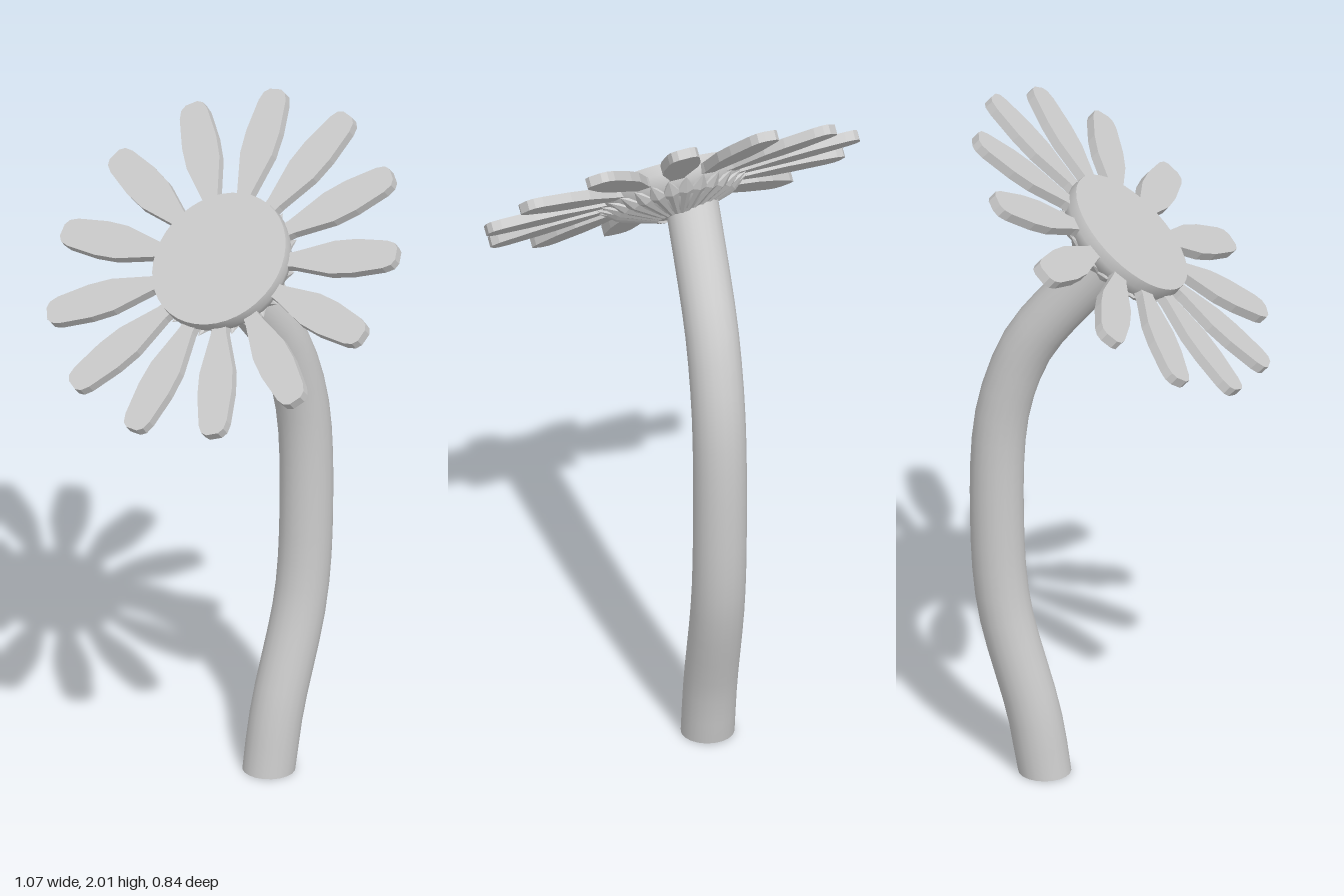
import * as THREE from 'three';
import { mergeVertices, toCreasedNormals } from 'three/addons/utils/BufferGeometryUtils.js';

const PETALS = 13;
const SEPALS = 26;

const grey = new THREE.MeshStandardMaterial({ color: 0xcccccc });
const flatGrey = new THREE.MeshStandardMaterial({ color: 0xcccccc, flatShading: true });
const innerGrey = new THREE.MeshStandardMaterial({ color: 0xcccccc, side: THREE.BackSide });

function part(name, geometry, material, parent) {
  const mesh = new THREE.Mesh(geometry, material);
  mesh.name = name;
  parent.add(mesh);
  return mesh;
}

// Tube along the stem curve, with its lowest ring pressed flat onto the ground
function stemTube(curve, radius) {
  const sides = 20;
  const geo = new THREE.TubeGeometry(curve, 22, radius, sides, false);
  for (let i = 0; i <= sides; i++) geo.attributes.position.setY(i, 0);
  return geo;
}

// Paddle-shaped petal lying along +x, from half-widths at each radius
function petalGeometry() {
  const profile = [[0.15, 0.018], [0.22, 0.023], [0.34, 0.051], [0.41, 0.053],
    [0.505, 0.043], [0.53, 0.034], [0.541, 0.018]];
  const outline = [
    ...profile.map(([r, w]) => new THREE.Vector2(r, -w)),
    ...profile.slice().reverse().map(([r, w]) => new THREE.Vector2(r, w)),
  ];
  const geo = new THREE.ExtrudeGeometry(new THREE.Shape(outline), { depth: 0.028, bevelEnabled: false });
  return geo.translate(0, 0, -0.014);
}

// Pointed sepal lying along +x, hugging the back of the flower head
function sepalGeometry() {
  const geo = new THREE.ConeGeometry(0.036, 0.17, 6, 2);
  geo.rotateZ(-Math.PI / 2);
  const p = geo.attributes.position;
  for (let i = 0; i < p.count; i++) {
    // Fuller towards the tip, narrower at the stem
    const t = (p.getX(i) + 0.085) / 0.17;
    const k = t < 0.1 ? 0.45 : t < 0.9 ? 1.6 : 1;
    p.setXYZ(i, p.getX(i) + (t > 0.1 && t < 0.9 ? 0.03 : 0), p.getY(i) * k, p.getZ(i) * k * 0.6);
  }
  geo.rotateY(-0.38);
  return geo.translate(0.137, 0, -0.048);
}

export function createModel() {
  const model = new THREE.Group();
  model.name = 'flower';

  // Stem: hollow, bent backwards and then forwards to the head
  const stem = new THREE.Group();
  stem.name = 'stem';
  model.add(stem);
  const curve = new THREE.CatmullRomCurve3([
    [0, -0.205], [0.17, -0.235], [0.5, -0.325], [0.78, -0.345], [1.05, -0.335],
    [1.2, -0.3], [1.335, -0.24], [1.58, -0.045], [1.615, -0.015],
  ].map(([y, z]) => new THREE.Vector3(-0.052, y, z)));
  part('stemOuter', stemTube(curve, 0.075), grey, stem);
  part('stemInner', stemTube(curve, 0.056), innerGrey, stem);
  const rim = part('stemBaseRim', new THREE.RingGeometry(0.056, 0.075, 20), grey, stem);
  rim.rotation.x = Math.PI / 2;
  rim.position.set(-0.052, 0, -0.205);

  // Flower head: local z points out of the flower's face
  const head = new THREE.Group();
  head.name = 'flowerHead';
  const face = new THREE.Vector3(0.1, 0.75, 0.66).normalize();
  const side = new THREE.Vector3(1, 0, 0).addScaledVector(face, -face.x).normalize();
  const up = new THREE.Vector3().crossVectors(face, side);
  head.quaternion.setFromRotationMatrix(new THREE.Matrix4().makeBasis(side, up, face));
  head.position.set(0, 1.643, 0.005);
  model.add(head);

  // Central disc with a domed back
  const discProfile = [[0, -0.085], [0.08, -0.08], [0.15, -0.055], [0.195, -0.02],
    [0.207, 0.01], [0.205, 0.04], [0, 0.04]];
  const disc = new THREE.LatheGeometry(discProfile.map(([r, y]) => new THREE.Vector2(r, y)), 40);
  disc.rotateX(Math.PI / 2);
  part('centreDisc', toCreasedNormals(disc, 0.7), grey, head);

  // Ring of petals
  const petal = petalGeometry();
  for (let i = 0; i < PETALS; i++) {
    part('petal', petal, flatGrey, head).rotation.z = (i / PETALS) * Math.PI * 2;
  }

  // Ring of sepals behind the disc
  const sepal = mergeVertices(sepalGeometry());
  for (let i = 0; i < SEPALS; i++) {
    part('sepal', sepal, flatGrey, head).rotation.z = ((i + 0.5) / SEPALS) * Math.PI * 2;
  }
  return model;
}
